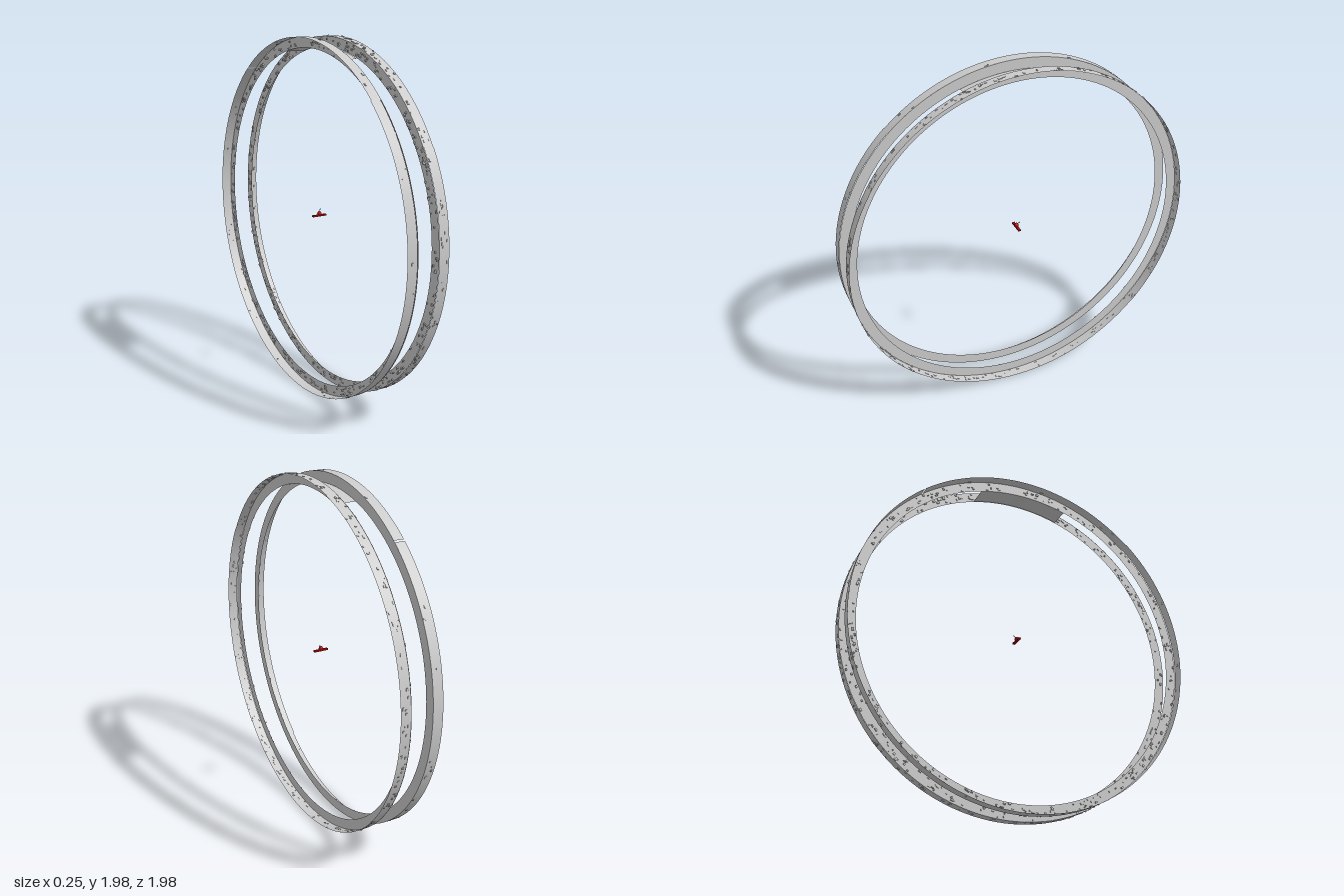
import * as THREE from 'three';
import { mergeGeometries } from 'three/addons/utils/BufferGeometryUtils.js';

const R_IN = 0.93, R_OUT = 0.988, WIDTH = 0.058, RING_X = 0.09;
const grey = new THREE.MeshStandardMaterial({ color: 0xcccccc });
const greySheet = new THREE.MeshStandardMaterial({ color: 0xcccccc, side: THREE.DoubleSide });
const red = new THREE.MeshStandardMaterial({ color: 0xb00808 });

function add(parent, name, geometry, material) {
  const mesh = new THREE.Mesh(geometry, material);
  mesh.name = name;
  parent.add(mesh);
  return mesh;
}

function seeded(seed) {
  return () => (seed = (seed * 16807) % 2147483647) / 2147483647;
}

// Curved sheet around the x axis; angle 0 is +z, PI/2 is up
function curvedSheet(from, to, radius, width) {
  const g = new THREE.CylinderGeometry(radius, radius, width, Math.ceil((to - from) * 24), 1, true, from, to - from);
  return g.rotateZ(Math.PI / 2);
}

// Small box centred at a given x, radius and angle
function blockAt(x, radius, angle, w, h, l) {
  const g = new THREE.BoxGeometry(w, h, l);
  g.translate(x, radius, 0);
  return g.rotateX(Math.PI / 2 - angle);
}

// Scattered small blocks; place(angle, across, size, height, length) returns one block
function scatter(count, random, place) {
  const blocks = [];
  for (let i = 0; i < count; i++) {
    blocks.push(place(random() * Math.PI * 2, random() - 0.5,
      0.004 + random() * 0.007, 0.003 + random() * 0.006, 0.005 + random() * 0.012));
  }
  return mergeGeometries(blocks);
}

// L-section ring: an outer wall, and a flat flange on the side facing the other ring
function makeRing(name, side, segments, wallCount, flangeCount, seed) {
  const ring = new THREE.Group();
  ring.name = name;
  ring.position.set(side * RING_X, 1, 0);
  const flangeX = -side * WIDTH / 2;

  // Slightly staggered wall segments
  for (const [from, to, shift] of segments) {
    add(ring, 'wallSegment', curvedSheet(from, to, R_OUT, WIDTH), greySheet).position.x = shift;
  }
  const flange = add(ring, 'flange', new THREE.RingGeometry(R_IN, R_OUT, 160).rotateY(Math.PI / 2), greySheet);
  flange.position.x = flangeX;

  const random = seeded(seed);
  add(ring, 'wallDetails', scatter(wallCount, random, (angle, across, size, height, length) =>
    blockAt(across * 0.046, R_OUT, angle, size, height, length)), grey);
  add(ring, 'flangeDetails', scatter(flangeCount, random, (angle, across, size, height, length) =>
    blockAt(flangeX - height / 2, (R_IN + R_OUT) / 2 + across * 0.044, angle, height, size, length)), grey);
  return ring;
}

export function createModel() {
  const model = new THREE.Group();
  model.name = 'doubleRingStation';
  const TAU = Math.PI * 2;

  model.add(makeRing('rightRing', -1,
    [[-0.94, 0.83, -0.005], [0.83, 2.23, 0], [2.24, TAU - 0.94, 0]], 25, 240, 71));
  model.add(makeRing('leftRing', 1,
    [[-0.8, 0.55, 0.002], [0.55, 1.85, -0.001], [1.85, 3.9, 0.002], [3.9, TAU - 0.8, 0]], 190, 240, 1234));

  // Thin curved panel bridging the rings at the top
  const panel = add(model, 'bridgePanel',
    curvedSheet(Math.PI / 2 - 0.305, Math.PI / 2 + 0.275, R_IN, 0.116), greySheet);
  panel.position.set(-0.003, 1, 0);

  // Tiny craft at the centre: wing, body and mast
  const craft = new THREE.Group();
  craft.name = 'craft';
  craft.position.y = 1.012;
  model.add(craft);
  add(craft, 'wing', new THREE.BoxGeometry(0.084, 0.009, 0.014), red);
  const body = add(craft, 'body', new THREE.SphereGeometry(0.012, 12, 8), red);
  body.scale.y = 1.2;
  body.position.y = 0.01;
  const mast = add(craft, 'mast', new THREE.CylinderGeometry(0.0015, 0.0025, 0.03, 6), grey);
  mast.position.set(0.007, 0.025, -0.007);
  mast.quaternion.setFromUnitVectors(new THREE.Vector3(0, 1, 0),
    new THREE.Vector3(0.5, 0.8, -0.5).normalize());

  return model;
}
